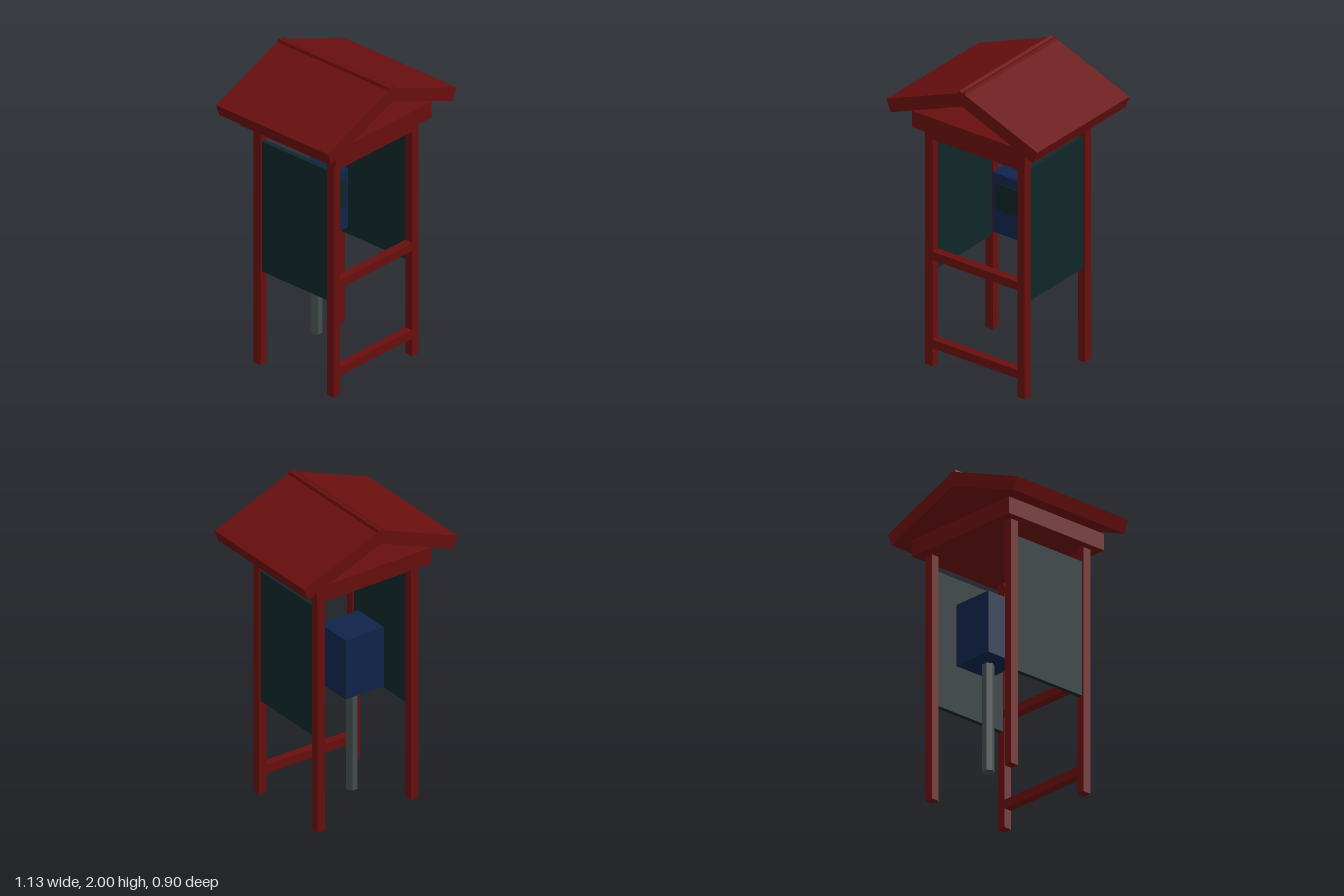
import * as THREE from 'three';

const material = (name, color) => {
  const m = new THREE.MeshStandardMaterial({ color });
  m.name = name;
  return m;
};

export function createModel() {
  const red = material('red paint', 0x690e0e);
  const blue = material('blue paint', 0x0f2449);
  const teal = material('dark teal panel', 0x0f2628);
  const screenGreen = material('dark green screen', 0x0f2422);
  const grey = material('grey steel', 0x444d4d);

  const model = new THREE.Group();
  model.name = 'shelter';

  const add = (name, geometry, mat, x, y, z) => {
    const mesh = new THREE.Mesh(geometry, mat);
    mesh.name = name;
    mesh.position.set(x, y, z);
    model.add(mesh);
    return mesh;
  };
  const box = (name, mat, w, h, d, x, y, z) =>
    add(name, new THREE.BoxGeometry(w, h, d), mat, x, y, z);

  const postX = 0.345, postZ = 0.295, postW = 0.055;

  for (const side of [1, -1]) {
    const label = side > 0 ? 'left' : 'right';

    // Corner posts
    box(label + 'FrontPost', red, postW, 1.6, postW, side * postX, 0.8, postZ);
    box(label + 'BackPost', red, postW, 1.6, postW, side * postX, 0.8, -postZ);

    // Side panel between the posts
    box(label + 'SidePanel', teal, 0.03, 0.88, 2 * postZ - postW, side * postX, 1.07, 0);

    // Sloping roof slab, crossing its twin just past the ridge
    const pitch = 0.373;
    const slab = box(label + 'RoofSlab', red, 0.628, 0.086, 0.9, side * 0.257, 1.846, 0);
    slab.rotation.z = -side * pitch;
  }

  // Front cross rails
  for (const [name, y] of [['lowerRail', 0.15], ['middleRail', 0.742], ['upperRail', 1.552]]) {
    box(name, red, 2 * postX - postW, 0.056, postW, 0, y, postZ);
  }

  // Ceiling slab under the roof
  box('ceilingSlab', red, 0.844, 0.108, 0.77, 0, 1.654, 0);

  // Hexagonal pole carrying the cabinet
  const poleGeometry = new THREE.CylinderGeometry(0.038, 0.038, 0.705, 6).toNonIndexed();
  poleGeometry.computeVertexNormals();
  poleGeometry.rotateY(Math.PI / 2);
  add('pole', poleGeometry, grey, 0, 0.4675, -0.16);

  // Cabinet with a thin screen on its front
  box('cabinet', blue, 0.28, 0.4, 0.26, 0, 1.017, -0.16);
  box('screen', screenGreen, 0.22, 0.174, 0.008, 0, 1.066, -0.027);

  return model;
}
